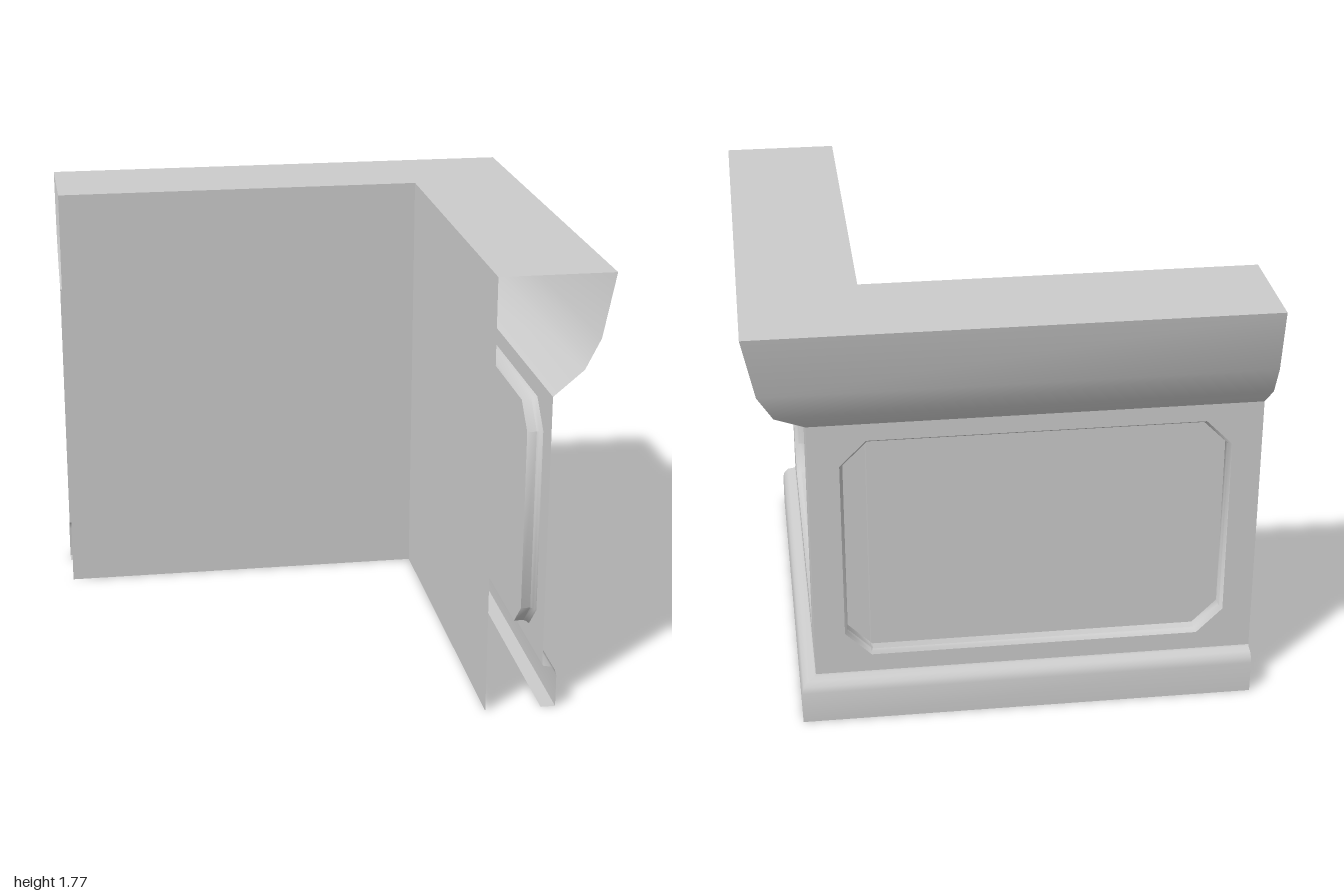
import * as THREE from 'three';
import { toCreasedNormals } from 'three/addons/utils/BufferGeometryUtils.js';

const material = new THREE.MeshStandardMaterial({ color: 0xcccccc, side: THREE.DoubleSide });
const TOP = 1.775, INNER = 0.545, FACE = 0.77, FLOOR = 0.71;

function part(name, geometry) {
  const mesh = new THREE.Mesh(geometry, material);
  mesh.name = name;
  return mesh;
}

// Joins neighbouring rows of points into quads, keeping sharp edges
function strip(rows) {
  const pos = [];
  for (let i = 0; i < rows.length - 1; i++) {
    for (let j = 0; j < rows[i].length - 1; j++) {
      const a = rows[i][j], b = rows[i + 1][j], c = rows[i + 1][j + 1], d = rows[i][j + 1];
      pos.push(...a, ...b, ...c, ...a, ...c, ...d);
    }
  }
  const g = new THREE.BufferGeometry();
  g.setAttribute('position', new THREE.Float32BufferAttribute(pos, 3));
  return toCreasedNormals(g, 0.8);
}

// Runs an (x, y) profile along z, mitred where the two arms meet
const mitred = (profile) => strip(profile.map(([x, y]) => [[x, y, 1], [x, y, -x]]));

// Flat sheet at a given x, outlined by (z, y) points
function sheet(x, outline, hole) {
  const toVectors = (pts) => pts.map(([z, y]) => new THREE.Vector2(-z, y));
  const shape = new THREE.Shape(toVectors(outline));
  if (hole) shape.holes.push(new THREE.Path(toVectors(hole)));
  return new THREE.ShapeGeometry(shape).rotateY(Math.PI / 2).translate(x, 0, 0);
}

// Panel outline with cut corners, shrunk by an inset
function panelOutline(inset) {
  const z0 = -0.648 + inset, z1 = 0.882 - inset;
  const y0 = 0.262 + inset, y1 = 1.226 - inset;
  const c = 0.105 - inset * 0.5;
  return [
    [z1 - c, y0], [z0 + c, y0], [z0, y0 + c], [z0, y1 - c],
    [z0 + c, y1], [z1 - c, y1], [z1, y1 - c], [z1, y0 + c],
  ];
}

function createArm(name) {
  const arm = new THREE.Group();
  arm.name = name;

  arm.add(part('counterTop', mitred([[INNER, TOP], [1, TOP]])));
  arm.add(part('cornice', mitred([[1, TOP], [0.95, 1.52], [0.89, 1.4], [FACE, 1.298]])));
  arm.add(part('plinth', mitred([
    [FACE, 0.186], [0.775, 0.179], [0.805, 0.174], [0.822, 0.158], [0.829, 0.134], [0.829, 0], [FACE, 0],
  ])));

  // Outer wall, opened for the sunken panel
  arm.add(part('outerWall', sheet(
    FACE,
    [[1, 0.186], [-FACE, 0.186], [-FACE, 1.298], [1, 1.298]],
    panelOutline(0),
  )));

  // Rounded lip and straight sides of the recess
  const steps = [[0, FACE], [0.004, 0.765], [0.009, 0.758], [0.013, 0.748], [0.013, FLOOR]];
  arm.add(part('panelMoulding', strip(steps.map(([inset, x]) => {
    const ring = panelOutline(inset).map(([z, y]) => [x, y, z]);
    return [...ring, ring[0]];
  }))));
  arm.add(part('panel', sheet(FLOOR, panelOutline(0.013))));

  // Inner wall runs on past the corner as a hidden partition
  arm.add(part('innerWall', sheet(
    INNER,
    [[1, 0], [-FACE, 0], [-FACE, 1.52], [-INNER, TOP], [1, TOP]],
  )));
  return arm;
}

export function createModel() {
  const model = new THREE.Group();
  model.name = 'cornerCounter';
  model.add(createArm('leftArm'));

  // Back arm is the side arm mirrored across the mitre
  const back = createArm('backArm');
  back.scale.x = -1;
  back.rotation.y = -Math.PI / 2;
  model.add(back);
  return model;
}
